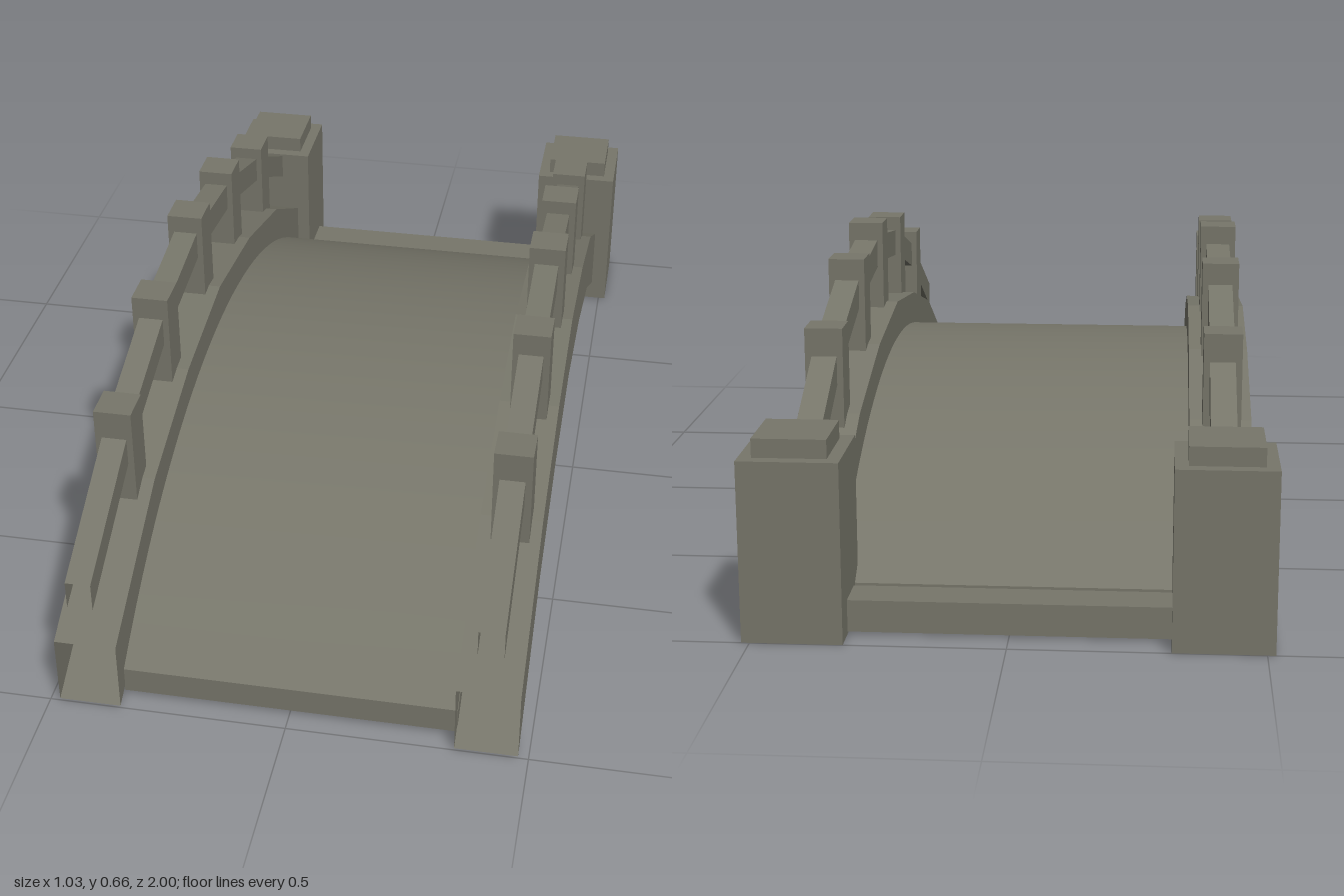
import * as THREE from 'three';

const stone = new THREE.MeshStandardMaterial({ color: 0x77766a, side: THREE.DoubleSide });
stone.name = 'weathered stone';

// Sweeps a rectangle along z; stations are [z, bottom, top], front to back.
function sweep(x0, x1, stations, { smooth = false, caps = false } = {}) {
  const pos = [], index = [];
  const rings = stations.map(([z, b, t]) => [[x0, b, z], [x1, b, z], [x1, t, z], [x0, t, z]]);
  for (let side = 0; side < 4; side++) {
    const start = pos.length / 3;
    rings.forEach((r, s) => {
      pos.push(...r[side], ...r[(side + 1) % 4]);
      if (s === 0) return;
      const a = start + (s - 1) * 2;
      index.push(a, a + 2, a + 1, a + 1, a + 2, a + 3);
    });
  }
  if (caps) {
    [rings[0], [...rings[rings.length - 1]].reverse()].forEach((r) => {
      const a = pos.length / 3;
      r.forEach((p) => pos.push(...p));
      index.push(a, a + 1, a + 2, a, a + 2, a + 3);
    });
  }
  let geo = new THREE.BufferGeometry();
  geo.setAttribute('position', new THREE.Float32BufferAttribute(pos, 3));
  geo.setIndex(index);
  if (!smooth) geo = geo.toNonIndexed();
  geo.computeVertexNormals();
  return geo;
}

export function createModel() {
  const group = new THREE.Group();
  const crown = 0.06; // z of the top of the arch

  const add = (name, geo, x = 0, y = 0, z = 0) => {
    const mesh = new THREE.Mesh(geo, stone);
    mesh.name = name;
    mesh.position.set(x, y, z);
    group.add(mesh);
  };
  const box = (name, w, h, d, x, bottom, z) =>
    add(name, new THREE.BoxGeometry(w, h, d), x, bottom + h / 2, z);

  // Smoothly arched walkway
  const radius = 1.48, deck = [];
  for (let i = 0; i <= 32; i++) {
    const d = 0.9 - (1.8 * i) / 32;
    const top = 0.375 - radius + Math.sqrt(radius * radius - d * d);
    deck.push([crown + d, top - 0.057, top]);
  }
  add('deck', sweep(-0.35, 0.35, deck, { smooth: true, caps: true }));

  // Threshold slab between the end pillars
  box('threshold', 0.64, 0.065, 0.085, 0, 0.005, -0.8975);

  // Faceted arch heights: [distance from crown, girder bottom, girder top, rail bottom, rail top]
  const half = [
    [0.94, 0.005, 0.16, 0.257, 0.32],
    [0.6, 0.188, 0.34, 0.432, 0.493],
    [0.3, 0.272, 0.423, 0.522, 0.585],
    [0, 0.308, 0.46, 0.558, 0.622],
  ];
  const arch = [...half, ...half.slice(0, 3).reverse().map(([d, ...r]) => [-d, ...r])];
  const girder = arch.map(([d, b, t]) => [crown + d, b, t]);
  const rail = arch.map(([d, , , b, t]) => [crown + d, b, t]);
  const posts = [[0.667, 0.533], [0.36, 0.623], [0.055, 0.658], [-0.232, 0.623], [-0.54, 0.533]];

  for (const [side, s] of [['left', 1], ['right', -1]]) {
    const span = (a, b) => (s > 0 ? [a, b] : [-b, -a]);
    // Open-ended girder and handrail
    add(side + 'Girder', sweep(...span(0.349, 0.479), girder));
    add(side + 'Rail', sweep(...span(0.389, 0.442), rail));
    // Rail posts
    posts.forEach(([z, top], i) =>
      box(side + 'Post' + (i + 1), 0.08, 0.222, 0.078, s * 0.416, top - 0.222, z));
    // Capped end pillar
    box(side + 'Pillar', 0.199, 0.366, 0.199, s * 0.417, 0, -0.9);
    box(side + 'PillarCap', 0.146, 0.038, 0.146, s * 0.417, 0.366, -0.9);
  }
  return group;
}
